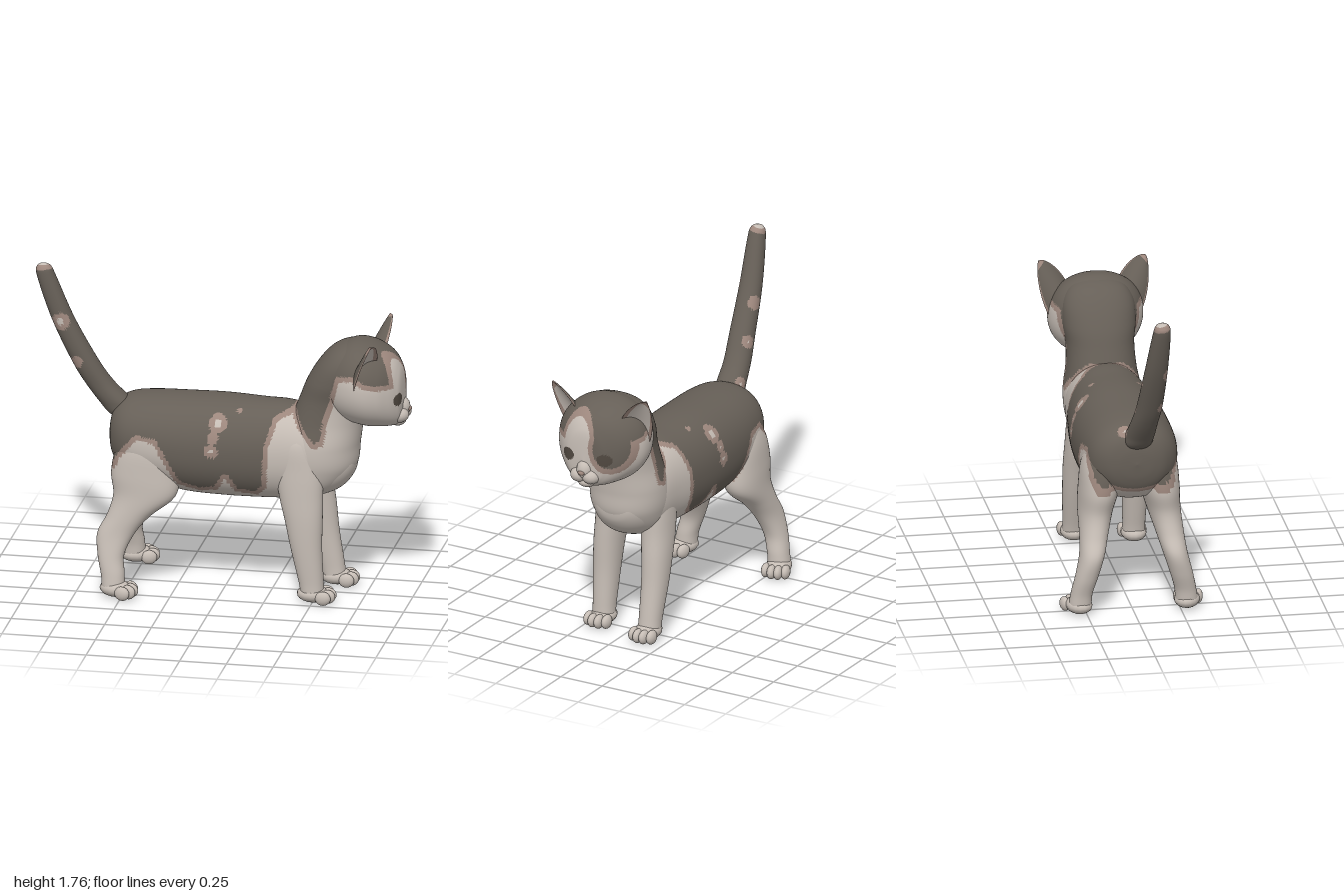
import * as THREE from 'three';

const mat = (name, color) => Object.assign(new THREE.MeshStandardMaterial({ color }), { name });
const TAU = Math.PI * 2;

export function createModel() {
  const cat = new THREE.Group();
  cat.name = 'cat';
  const white = mat('white fur', 0xc6bdb5), tan = mat('tan fur', 0x9d877d);
  const dark = mat('dark fur', 0x665f57), eye = mat('eye', 0x504840);
  const coats = [white, tan, dark, eye];

  // Lower edge of the dark saddle, seen from the side
  const edge = [[-1.2, 0.5], [-0.62, 0.62], [-0.57, 0.67], [-0.5, 0.78], [-0.43, 0.86], [-0.34, 0.85],
    [-0.29, 0.76], [-0.22, 0.62], [-0.1, 0.58], [0, 0.6], [0.04, 0.68], [0.09, 0.59], [0.2, 0.57],
    [0.26, 0.63], [0.27, 0.85], [0.31, 0.99], [0.38, 1.02], [0.42, 0.95], [0.5, 0.86], [0.56, 0.88],
    [0.58, 1.0], [0.62, 1.14], [0.65, 1.25], [0.72, 1.26], [0.8, 1.22], [0.9, 1.21], [1.2, 1.21]];
  // Spots: x, y, z (null = both flanks), radius of the pale middle
  const spots = [[0, 0.97, null, 0.02], [-0.02, 0.9, null, 0.005], [-0.03, 0.83, null, 0.012],
    [0.1, 1.03, 0.15, -0.012], [0.12, 1.04, -0.12, -0.005], [0.37, 1.0, -0.17, 0.02],
    [-0.35, 1.02, -0.2, 0.005], [0.1, 1.04, 0.14, -0.01], [-0.56, 1.02, -0.05, 0.015],
    [-0.6, 1.04, 0.06, 0.012], [-0.77, 1.23, 0.1, 0.012], [-0.86, 1.45, 0.12, 0.022],
    [-0.8, 1.38, 0.02, 0.012], [-0.7, 1.2, 0.0, 0.01], [-0.96, 1.755, 0.08, 0.03]];

  function saddle(x, y) {
    let best = 9, sign = 1;
    for (let i = 1; i < edge.length; i++) {
      const [ax, ay] = edge[i - 1], [bx, by] = edge[i], dx = bx - ax, dy = by - ay;
      const t = THREE.MathUtils.clamp(((x - ax) * dx + (y - ay) * dy) / (dx * dx + dy * dy), 0, 1);
      best = Math.min(best, Math.hypot(x - ax - t * dx, y - ay - t * dy));
      if (x >= ax && x < bx) sign = y > ay + dy * (x - ax) / dx ? 1 : -1;
    }
    return best * sign;
  }
  function coat({ x, y, z }) {
    let f = saddle(x, y);
    for (const [sx, sy, sz, r] of spots)
      f = Math.min(f, Math.hypot(x - sx, y - sy, sz === null ? 0 : z - sz) - r);
    if (x > 0.8) {
      // Pale blaze, dark eye patch and the eyes
      f = Math.min(f, (Math.hypot((z - 0.075) / 0.085, (y - 1.2) / 0.145) - 1) * 0.1);
      f = Math.max(f, (1 - Math.hypot((z + 0.11) / 0.115, (y - 1.2) / 0.14)) * 0.11);
      for (const ez of [0.13, -0.085])
        if (Math.hypot((z - ez) / 0.04, (y - 1.14) / 0.034) < 1) return 3;
    }
    return f < 0 ? 0 : f < 0.026 ? 1 : 2;
  }

  // Closed tube from a point rule, its triangles sorted by colour
  function skin(name, point, nu, nv, rule) {
    const pos = [], at = [], lists = [[], [], [], []];
    for (let i = 0; i <= nu; i++) for (let j = 0; j < nv; j++) {
      const p = point(i / nu, (j / nv) * TAU);
      at.push(p);
      pos.push(p.x, p.y, p.z);
    }
    const mid = new THREE.Vector3();
    for (let i = 0; i < nu; i++) for (let j = 0; j < nv; j++) {
      const a = i * nv + j, b = i * nv + (j + 1) % nv, c = a + nv, d = b + nv;
      for (const tri of [[a, b, c], [b, d, c]]) {
        mid.set(0, 0, 0);
        tri.forEach(k => mid.addScaledVector(at[k], 1 / 3));
        lists[rule(mid, (i + 0.5) / nu, ((j + 0.5) / nv) * TAU)].push(...tri);
      }
    }
    const geo = new THREE.BufferGeometry();
    geo.setAttribute('position', new THREE.Float32BufferAttribute(pos, 3));
    geo.setIndex(lists.flat());
    let start = 0;
    lists.forEach((l, k) => {
      if (l.length) geo.addGroup(start, l.length, k);
      start += l.length;
    });
    geo.computeVertexNormals();
    const mesh = new THREE.Mesh(geo, coats);
    mesh.name = name;
    cat.add(mesh);
  }

  // Loft through rows: position on axis, two centre offsets, two radii
  function loft(name, axis, rows, nu, nv) {
    const path = new THREE.CatmullRomCurve3(rows.map(r => new THREE.Vector3(r[0], r[1], r[2])), false, 'catmullrom');
    const size = new THREE.CatmullRomCurve3(rows.map(r => new THREE.Vector3(r[3], r[4], 0)), false, 'catmullrom');
    const round = v => Math.sign(v) * Math.abs(v) ** 0.92;
    skin(name, (u, th) => {
      const c = path.getPoint(u), r = size.getPoint(u);
      const a = c.y + Math.max(r.x, 0) * round(Math.cos(th)), s = Math.max(r.y, 0) * round(Math.sin(th));
      return axis === 'x' ? new THREE.Vector3(c.x, a, c.z + s) : new THREE.Vector3(a, c.x, c.z - s);
    }, nu, nv, coat);
  }

  function ball(name, material, x, y, z, rx, ry, rz) {
    const m = new THREE.Mesh(new THREE.SphereGeometry(1, 16, 12), material);
    m.name = name;
    m.position.set(x, y, z);
    m.scale.set(rx, ry, rz);
    cat.add(m);
    return m;
  }

  loft('torso', 'x', [[-0.61, 0.84, 0.01, 0, 0], [-0.6, 0.84, 0.01, 0.09, 0.1], [-0.57, 0.84, 0.01, 0.16, 0.17],
    [-0.5, 0.83, 0.01, 0.21, 0.225], [-0.38, 0.82, 0.01, 0.235, 0.25], [-0.2, 0.8, 0.01, 0.26, 0.26],
    [0, 0.795, 0.01, 0.268, 0.255], [0.2, 0.79, 0.01, 0.265, 0.235], [0.35, 0.79, 0.01, 0.26, 0.215],
    [0.5, 0.78, 0.01, 0.23, 0.2], [0.62, 0.77, 0.01, 0.17, 0.16], [0.69, 0.77, 0.01, 0.09, 0.1],
    [0.71, 0.77, 0.01, 0, 0]], 150, 110);

  loft('chest and neck', 'y', [[0.56, 0.46, 0.01, 0, 0], [0.6, 0.46, 0.01, 0.14, 0.14], [0.72, 0.5, 0.01, 0.2, 0.195],
    [0.85, 0.52, 0.01, 0.2, 0.205], [0.98, 0.55, 0.01, 0.19, 0.185], [1.1, 0.59, 0.01, 0.185, 0.18],
    [1.2, 0.63, 0.01, 0.185, 0.195], [1.3, 0.66, 0.01, 0.155, 0.19], [1.37, 0.68, 0.01, 0.11, 0.15],
    [1.405, 0.7, 0.01, 0.06, 0.08], [1.41, 0.7, 0.01, 0, 0]], 100, 90);

  loft('head', 'x', [[0.5, 1.2, 0.01, 0, 0], [0.54, 1.2, 0.01, 0.13, 0.13], [0.62, 1.2, 0.01, 0.19, 0.205],
    [0.7, 1.2, 0.012, 0.222, 0.245], [0.78, 1.19, 0.015, 0.226, 0.253], [0.85, 1.177, 0.018, 0.212, 0.225],
    [0.9, 1.162, 0.02, 0.194, 0.182], [0.935, 1.145, 0.025, 0.165, 0.135], [0.955, 1.13, 0.028, 0.12, 0.09],
    [0.965, 1.12, 0.03, 0, 0]], 110, 110);

  // Muzzle
  for (const s of [-1, 1]) ball('muzzle cheek', white, 0.94, 1.035, 0.03 + s * 0.035, 0.052, 0.042, 0.05);
  ball('muzzle bridge', white, 0.945, 1.07, 0.03, 0.048, 0.055, 0.045);
  ball('chin', white, 0.925, 0.995, 0.03, 0.045, 0.03, 0.05);
  ball('nose', tan, 0.985, 1.062, 0.03, 0.017, 0.014, 0.02);

  // Ears: cupped leaves, pale inside and dark behind
  const base = new THREE.Vector3(0.745, 1.31, 0.19), up = new THREE.Vector3(0.08, 0.165, 0.095);
  const across = new THREE.Vector3(0.1, 0.13, -0.12).normalize();
  const facing = across.clone().cross(up).normalize();
  for (const side of [-1, 1]) {
    skin(side > 0 ? 'left ear' : 'right ear', (u, t) => {
      const th = -side * t, v = -0.25 + 1.25 * u, s = Math.cos(th);
      const w = 0.1 * (1 - Math.max(v, 0) ** 1.7) ** 0.7;
      const p = base.clone().addScaledVector(up, v).addScaledVector(across, s * w)
        .addScaledVector(facing, 0.05 * s * s * (1 - v * 0.8) + 0.012 * Math.sin(th) * Math.sqrt(Math.max(0, 1 - u)));
      p.z = 0.01 + side * p.z;
      return p;
    }, 36, 44, (p, u, t) => {
      const th = -side * t, s = Math.abs(Math.cos(th));
      if (Math.sin(th) > 0) return s > 0.72 || u > 0.85 ? 1 : 0;
      return u > 0.88 || s > 0.93 ? 1 : 2;
    });
  }

  loft('tail', 'y', [[0.88, -0.5, 0.02, 0, 0], [0.93, -0.53, 0.02, 0.08, 0.07], [1.0, -0.58, 0.03, 0.09, 0.075],
    [1.1, -0.665, 0.04, 0.077, 0.07], [1.22, -0.74, 0.055, 0.07, 0.067], [1.45, -0.855, 0.07, 0.06, 0.06],
    [1.68, -0.94, 0.085, 0.05, 0.047], [1.74, -0.955, 0.088, 0.037, 0.035], [1.76, -0.957, 0.088, 0, 0]], 110, 48);

  // Paw with four toes, turned outward by an angle
  function paw(name, x, z, turn) {
    const g = new THREE.Group();
    g.name = name;
    const parts = [ball('pad', white, -0.02, 0.05, 0, 0.085, 0.045, 0.068)];
    for (const k of [-1.5, -0.5, 0.5, 1.5])
      parts.push(ball('toe', white, 0.07 - Math.abs(k) * 0.018, 0.042, k * 0.036, 0.042, 0.038, 0.024));
    g.add(...parts);
    g.position.set(x, 0, z);
    g.rotation.y = turn;
    cat.add(g);
  }

  for (const side of [-1, 1]) {
    const word = side > 0 ? 'left ' : 'right ';
    // Front legs, the right one set a little forward
    const step = side > 0 ? 0 : 0.065;
    loft(word + 'front leg', 'y', [[0.015, 0.5, 0, 0, 0], [0.03, 0.5, 0, 0.055, 0.055], [0.12, 0.49, 0, 0.066, 0.06],
      [0.3, 0.465, 0, 0.083, 0.068], [0.45, 0.45, -0.005, 0.1, 0.075], [0.57, 0.435, -0.015, 0.115, 0.08],
      [0.72, 0.42, -0.03, 0.125, 0.085], [0.88, 0.4, -0.045, 0.1, 0.08], [0.97, 0.4, -0.05, 0, 0]]
      .map(([y, x, z, rx, rz]) => [y, x + step * Math.max(0, 1 - y / 0.6), 0.02 + side * (0.155 + z), rx, rz]), 44, 36);
    paw(word + 'front paw', 0.52 + step, 0.02 + side * 0.155, 0);
    // Hind legs with full thigh and bent hock
    loft(word + 'hind leg', 'y', [[0.015, -0.545, 0.285, 0, 0], [0.03, -0.545, 0.285, 0.055, 0.055],
      [0.12, -0.55, 0.275, 0.062, 0.057], [0.22, -0.565, 0.25, 0.07, 0.06], [0.33, -0.545, 0.22, 0.098, 0.065],
      [0.43, -0.48, 0.2, 0.115, 0.075], [0.54, -0.4, 0.18, 0.165, 0.09], [0.66, -0.4, 0.16, 0.18, 0.105],
      [0.8, -0.4, 0.14, 0.15, 0.11], [0.92, -0.4, 0.13, 0.06, 0.07], [0.95, -0.4, 0.13, 0, 0]]
      .map(([y, x, z, rx, rz]) => [y, x, side * z, rx, rz]), 60, 44);
    paw(word + 'hind paw', -0.515, side * 0.292, -side * 0.25);
  }
  return cat;
}
